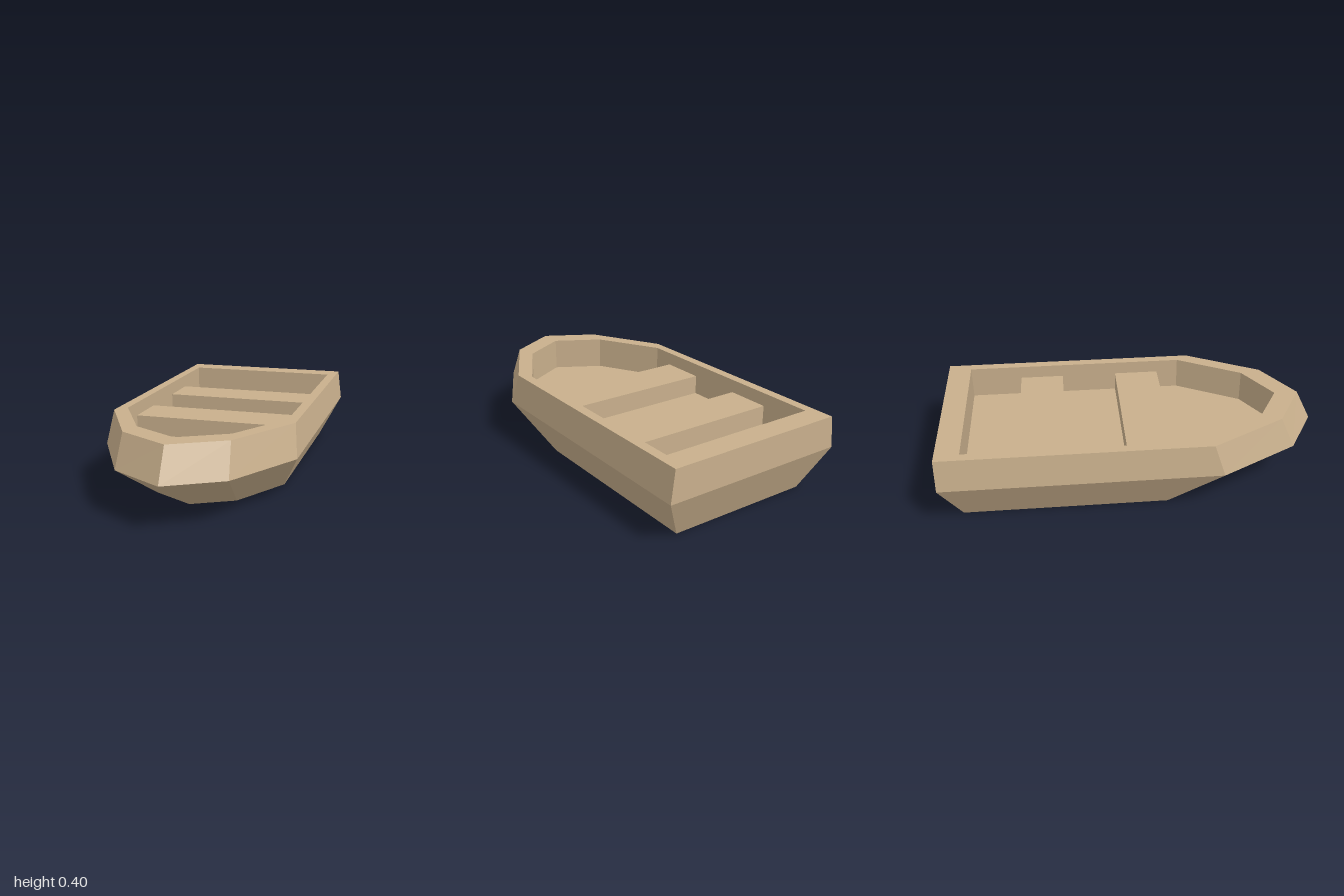
import * as THREE from 'three';

const wood = new THREE.MeshStandardMaterial({ color: 0xc8af8c });
wood.name = 'tanWood';

// Closed outline at one height: stern corner, shoulder, cheek and bow tip, mirrored
function ring(y, w, stern, shoulder, cheekX, cheekZ, tip) {
  const half = [[w, stern], [w, shoulder], [cheekX, cheekZ]];
  const outline = [...half, [0, tip], ...half.map(([x, z]) => [-x, z]).reverse()];
  return outline.map(([x, z]) => [x, y, z]);
}

// Faceted mesh from a list of triangles
function facetMesh(name, triangles) {
  const geometry = new THREE.BufferGeometry();
  geometry.setAttribute('position', new THREE.Float32BufferAttribute(triangles.flat(2), 3));
  geometry.computeVertexNormals();
  const mesh = new THREE.Mesh(geometry, wood);
  mesh.name = name;
  return mesh;
}

// Band of quads between two rings
function band(a, b) {
  return a.flatMap((p, i) => {
    const j = (i + 1) % a.length;
    return [[p, b[i], a[j]], [b[i], b[j], a[j]]];
  });
}

// Flat fan over a ring, facing up or down
function cap(r, up) {
  return r.slice(1, -1).map((p, i) => (up ? [r[0], r[i + 2], p] : [r[0], p, r[i + 2]]));
}

export function createModel() {
  const boat = new THREE.Group();
  boat.name = 'rowingBoat';

  const floorY = 0.222, rimY = 0.395;
  const keel = ring(0, 0.383, -0.9, 0.16, 0.21, 0.47, 0.585);
  const chine = ring(0.228, 0.5, -1, 0.43, 0.275, 0.84, 1);
  const rim = ring(rimY, 0.478, -1, 0.375, 0.263, 0.765, 0.915);
  const well = [0.427, -0.876, 0.315, 0.237, 0.655, 0.79];
  const innerRim = ring(rimY, ...well);
  const innerFloor = ring(floorY, ...well);

  // Hull shell, from the bottom up over the rim and down into the well
  boat.add(
    facetMesh('hullBottom', cap(keel, false)),
    facetMesh('lowerHull', band(keel, chine)),
    facetMesh('upperHull', band(chine, rim)),
    facetMesh('gunwale', band(rim, innerRim)),
    facetMesh('innerWalls', band(innerRim, innerFloor)),
    facetMesh('floor', cap(innerFloor, true)),
  );

  // Two bench seats spanning the well
  const benchTop = 0.325;
  [['rearBench', -0.595, -0.355], ['frontBench', -0.05, 0.195]].forEach(([name, z0, z1]) => {
    const bench = new THREE.Mesh(new THREE.BoxGeometry(0.854, benchTop - floorY, z1 - z0), wood);
    bench.position.set(0, (benchTop + floorY) / 2, (z0 + z1) / 2);
    bench.name = name;
    boat.add(bench);
  });

  return boat;
}
